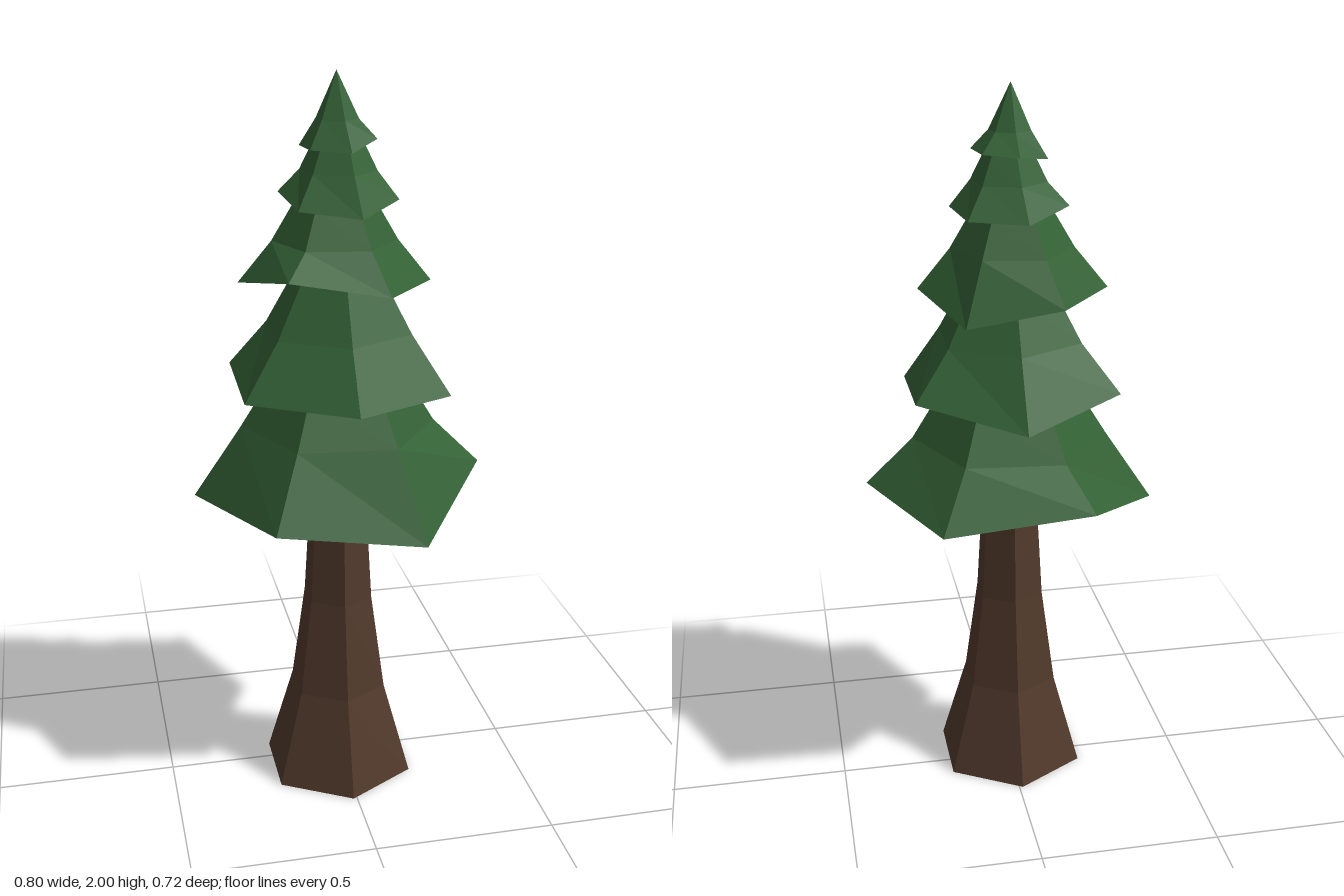
import * as THREE from 'three';

const bark = new THREE.MeshStandardMaterial({ color: 0x523a2c, flatShading: true });
const needles = new THREE.MeshStandardMaterial({ color: 0x336135, flatShading: true });

// Each tier: uneven six-cornered rim [x, y, z], then [radius fraction, y] rings above it.
const tiers = [
  {
    axis: [0, 0.01],
    rim: [[-0.4, 0.85, -0.04], [-0.165, 0.955, -0.36], [0.23, 0.905, -0.323],
      [0.395, 0.92, 0.04], [0.165, 0.815, 0.358], [-0.23, 0.862, 0.32]],
    rings: [[0.67, 1.05], [0.47, 1.18], [0.36, 1.28]],
  },
  {
    axis: [-0.005, 0.03],
    rim: [[-0.28, 1.2, -0.135], [0, 1.155, -0.285], [0.27, 1.2, -0.12],
      [0.265, 1.172, 0.195], [-0.015, 1.18, 0.345], [-0.285, 1.183, 0.185]],
    rings: [[0.65, 1.33], [0.4, 1.47], [0.28, 1.56]],
  },
  {
    axis: [-0.015, 0.037],
    rim: [[-0.27, 1.46, 0], [-0.11, 1.46, -0.2], [0.14, 1.41, -0.16],
      [0.235, 1.46, 0.075], [0.08, 1.468, 0.275], [-0.175, 1.508, 0.235]],
    rings: [[0.65, 1.57], [0.42, 1.67], [0.3, 1.74]],
  },
  {
    axis: [-0.005, 0.03],
    rim: [[-0.155, 1.69, -0.03], [-0.03, 1.665, -0.13], [0.12, 1.67, -0.08],
      [0.145, 1.677, 0.08], [0.025, 1.65, 0.19], [-0.13, 1.665, 0.13]],
    rings: [[0.64, 1.75], [0.42, 1.82], [0.3, 1.87]],
  },
  {
    axis: [-0.01, 0.027],
    rim: [[-0.1, 1.81, -0.015], [-0.015, 1.825, -0.08], [0.075, 1.83, -0.04],
      [0.09, 1.83, 0.06], [0.01, 1.805, 0.125], [-0.09, 1.81, 0.085]],
    rings: [[0.55, 1.88], [0, 2]],
  },
];

// Joins the rim and its rings into a skirt, and closes the underside with a fan.
function tierGeometry({ axis: [cx, cz], rim, rings }) {
  const levels = [rim, ...rings.map(([f, y]) =>
    rim.map(([x, , z]) => [cx + (x - cx) * f, y, cz + (z - cz) * f]))];
  const centre = [cx, rim.reduce((sum, p) => sum + p[1], 0) / rim.length, cz];
  const n = rim.length;
  const positions = [];
  for (let i = 0; i < n; i++) {
    const j = (i + 1) % n;
    positions.push(...centre, ...rim[i], ...rim[j]);
    for (let k = 0; k + 1 < levels.length; k++) {
      const low = levels[k], up = levels[k + 1];
      positions.push(...low[i], ...up[j], ...low[j]);
      const atApex = k === rings.length - 1 && rings[k][0] === 0;
      if (!atApex) positions.push(...low[i], ...up[i], ...up[j]);
    }
  }
  const geometry = new THREE.BufferGeometry();
  geometry.setAttribute('position', new THREE.Float32BufferAttribute(positions, 3));
  geometry.computeVertexNormals();
  return geometry;
}

export function createModel() {
  const tree = new THREE.Group();
  tree.name = 'pineTree';

  // Six-sided trunk flaring toward the ground
  const profile = [[0, 0], [0.22, 0], [0.14, 0.27], [0.1, 0.55], [0.08, 0.88], [0.075, 1], [0, 1]]
    .map(([r, y]) => new THREE.Vector2(r, y));
  const trunk = new THREE.Mesh(new THREE.LatheGeometry(profile, 6), bark);
  trunk.name = 'trunk';
  trunk.position.set(-0.01, 0, 0.045);
  tree.add(trunk);

  // Overlapping skirts of foliage, bottom to top
  tiers.forEach((tier, i) => {
    const mesh = new THREE.Mesh(tierGeometry(tier), needles);
    mesh.name = `foliageTier${i + 1}`;
    tree.add(mesh);
  });

  return tree;
}
